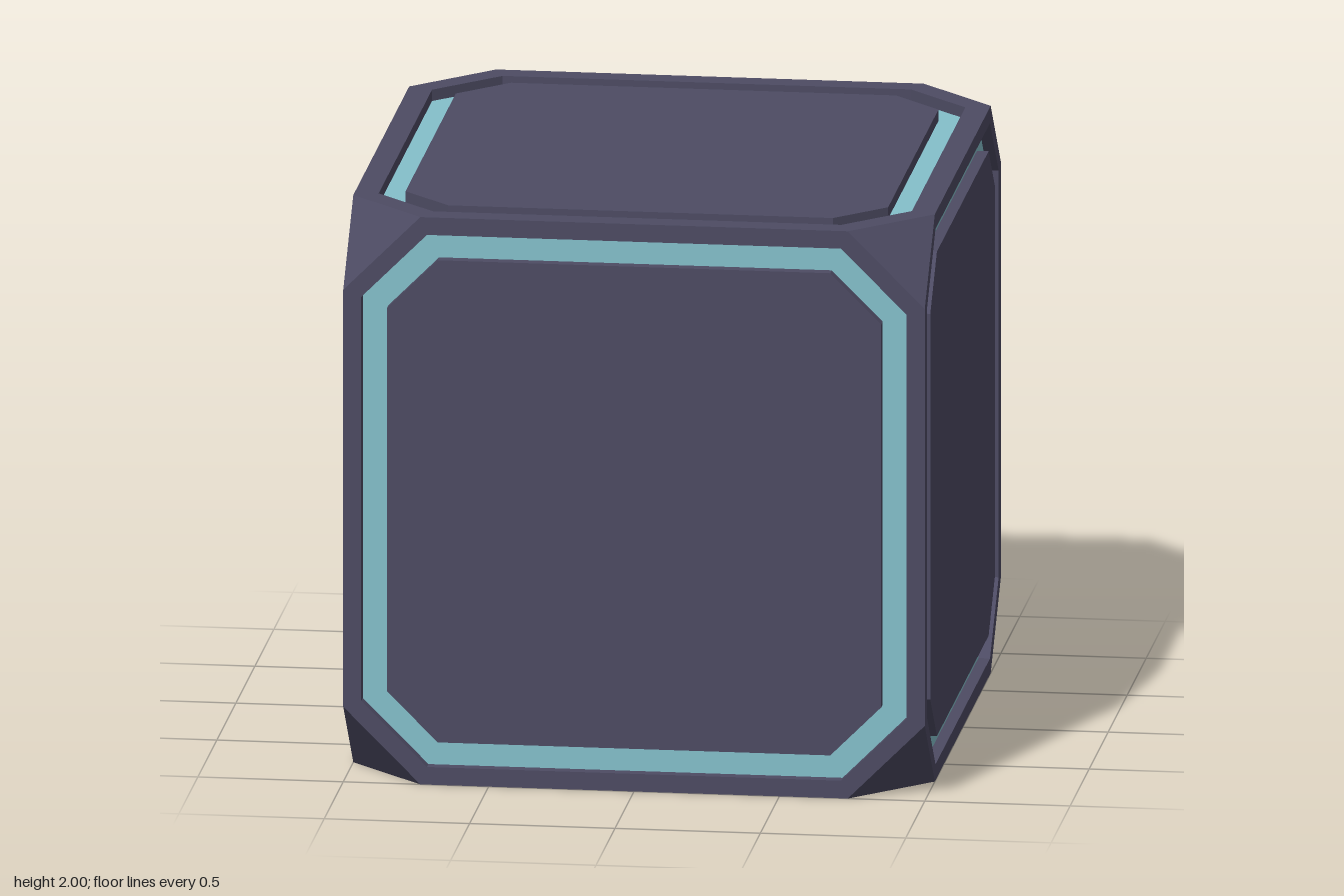
import * as THREE from 'three';

const DEPTH = 0.04; // groove depth
const EDGE = 0.735; // where the cut corners begin

const shell = new THREE.MeshStandardMaterial({ color: 0x4d4b63, flatShading: true });
const glow = new THREE.MeshStandardMaterial({ color: 0x84c0cb, flatShading: true });

// Square of half size h whose straight sides end at f, as a counter-clockwise loop
const octagon = (h, f, z) =>
  [[h, -f], [h, f], [f, h], [-f, h], [-h, f], [-h, -f], [-f, -h], [f, -h]]
    .map(([x, y]) => new THREE.Vector3(x, y, z));

function fromPoints(points) {
  const geometry = new THREE.BufferGeometry().setFromPoints(points);
  geometry.computeVertexNormals();
  return geometry;
}

// Band of quads joining two loops
function band(a, b) {
  const points = [];
  a.forEach((p, i) => {
    const j = (i + 1) % a.length;
    points.push(p, a[j], b[j], p, b[j], b[i]);
  });
  return fromPoints(points);
}

// Flat cap filling a loop
function cap(loop) {
  const points = [];
  for (let i = 1; i < loop.length - 1; i++) points.push(loop[0], loop[i], loop[i + 1]);
  return fromPoints(points);
}

function add(parent, name, geometry, material) {
  const mesh = new THREE.Mesh(geometry, material);
  mesh.name = name;
  parent.add(mesh);
}

// One side of the cube, facing +z: rim, sunken glowing groove, raised panel
function makeSide(name, grooveHalf, grooveFlat, panelHalf, panelFlat) {
  const side = new THREE.Group();
  side.name = name;
  const floor = 1 - DEPTH;
  const grooveTop = octagon(grooveHalf, grooveFlat, 1);
  const grooveBase = octagon(grooveHalf, grooveFlat, floor);
  const panelBase = octagon(panelHalf, panelFlat, floor);
  const panelTop = octagon(panelHalf, panelFlat, 1);
  add(side, 'rim', band(octagon(1, EDGE, 1), grooveTop), shell);
  add(side, 'grooveWall', band(grooveTop, grooveBase), shell);
  add(side, 'glowStrip', band(grooveBase, panelBase), glow);
  add(side, 'panelWall', band(panelBase, panelTop), shell);
  add(side, 'panel', cap(panelTop), shell);
  return side;
}

export function createModel() {
  const model = new THREE.Group();
  model.name = 'panelledCube';
  const cube = new THREE.Group();
  cube.name = 'cube';
  cube.position.y = 1;
  model.add(cube);

  // Six sides: name, turn about x, turn about y, groove and panel sizes
  const q = Math.PI / 2;
  const front = [0.938, 0.712, 0.85, 0.675];
  const flank = [0.944, 0.717, 0.854, 0.68];
  const top = [0.917, 0.702, 0.83, 0.662];
  for (const [name, rx, ry, sizes] of [
    ['frontSide', 0, 0, front], ['backSide', 0, 2 * q, front],
    ['leftSide', 0, q, flank], ['rightSide', 0, -q, flank],
    ['topSide', -q, 0, top], ['bottomSide', q, 0, top],
  ]) {
    const side = makeSide(name, ...sizes);
    side.rotation.set(rx, ry, 0);
    cube.add(side);
  }

  // Eight cut corners
  for (const x of [-1, 1]) for (const y of [-1, 1]) for (const z of [-1, 1]) {
    const points = [
      new THREE.Vector3(x * EDGE, y, z),
      new THREE.Vector3(x, y * EDGE, z),
      new THREE.Vector3(x, y, z * EDGE),
    ];
    // Keep the face turned outwards on mirrored corners
    if (x * y * z > 0) points.reverse();
    const normal = new THREE.Triangle(...points).getNormal(new THREE.Vector3());
    if (normal.dot(new THREE.Vector3(x, y, z)) < 0) points.reverse();
    add(cube, 'cutCorner', fromPoints(points), shell);
  }
  return model;
}
